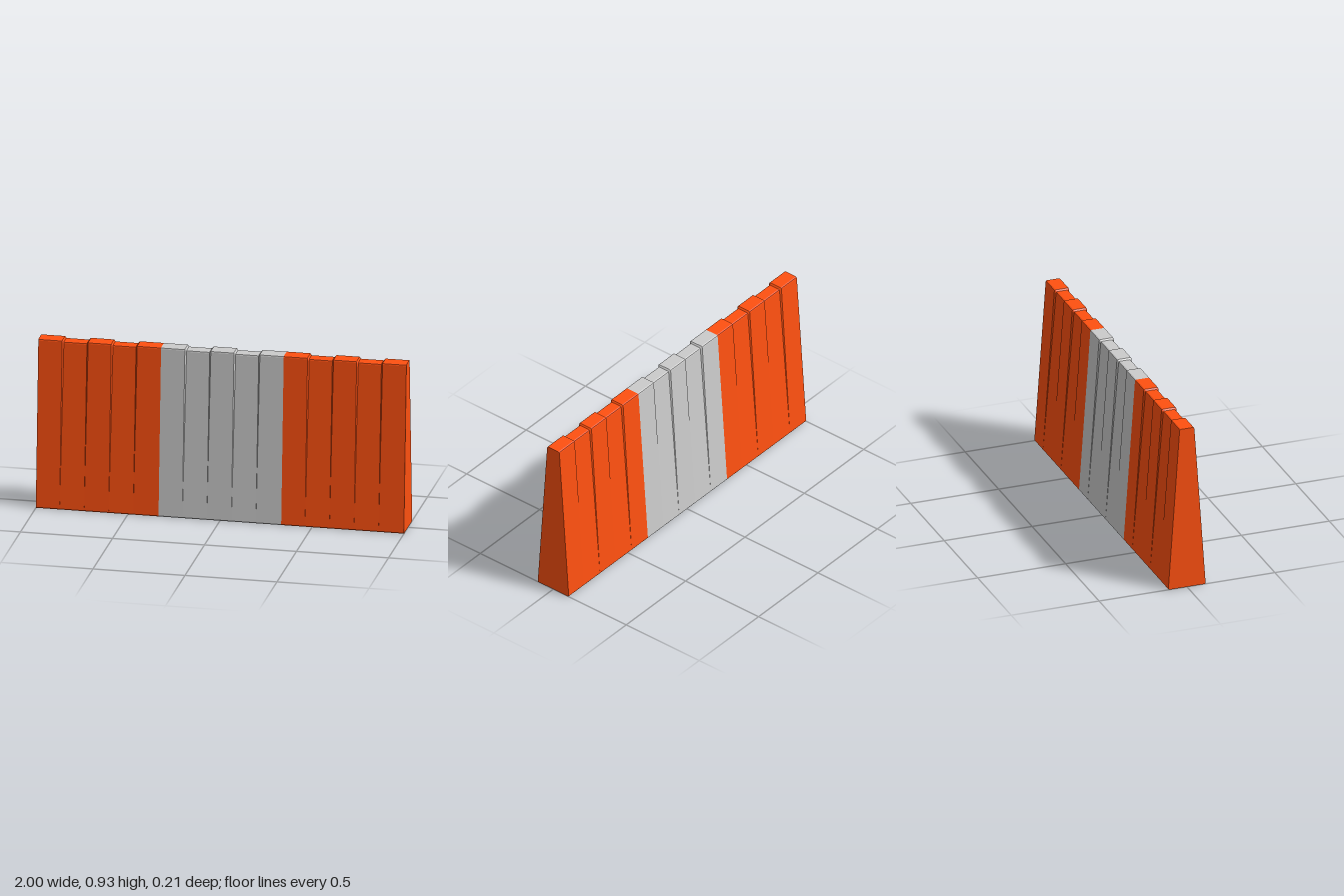
import * as THREE from 'three';

const RIB = 2 / 15;      // width of one rib
const RIBS = 5;          // ribs per panel
const BEVEL = 0.004;     // half width of the step between ribs

// Tapered cross-section as [z, y] points; recess 0 = raised rib, 1 = sunken rib
function crossSection(recess) {
  const top = 0.93 - 0.008 * recess;
  const half = 0.042 - 0.007 * recess;
  const side = [
    [0.103, 0], [0.106, 0.004],
    [half, top - 0.009], [half - 0.002, top - 0.003], [half - 0.008, top],
  ];
  return [...side, ...side.map(([z, y]) => [-z, y]).reverse()];
}

// Loft the cross-section along x, stepping between raised and sunken ribs
function panelGeometry() {
  const stations = [];
  const start = -RIB * RIBS / 2;
  for (let i = 0; i < RIBS; i++) {
    const x0 = start + i * RIB, x1 = x0 + RIB;
    stations.push([i === 0 ? x0 : x0 + BEVEL, i % 2]);
    stations.push([i === RIBS - 1 ? x1 : x1 - BEVEL, i % 2]);
  }
  const rings = stations.map(([x, recess]) => crossSection(recess).map(([z, y]) => [x, y, z]));
  const pos = [];
  const tri = (a, b, c) => pos.push(...a, ...b, ...c);
  const n = rings[0].length;

  // Skin, including the underside
  for (let s = 0; s < rings.length - 1; s++) {
    const p = rings[s], q = rings[s + 1];
    for (let k = 0; k < n; k++) {
      const m = (k + 1) % n;
      tri(p[k], q[k], q[m]);
      tri(p[k], q[m], p[m]);
    }
  }
  // End faces
  const first = rings[0], last = rings[rings.length - 1];
  for (let k = 1; k < n - 1; k++) {
    tri(first[0], first[k], first[k + 1]);
    tri(last[0], last[k + 1], last[k]);
  }

  const geometry = new THREE.BufferGeometry();
  geometry.setAttribute('position', new THREE.Float32BufferAttribute(pos, 3));
  geometry.computeVertexNormals();
  return geometry;
}

export function createModel() {
  const group = new THREE.Group();
  group.name = 'barrier';
  const orange = new THREE.MeshStandardMaterial({ color: 0xff5010 });
  const grey = new THREE.MeshStandardMaterial({ color: 0xcccccc });
  const geometry = panelGeometry();

  // Three ribbed panels side by side
  [['rightPanel', -1, orange], ['middlePanel', 0, grey], ['leftPanel', 1, orange]]
    .forEach(([name, slot, material]) => {
      const panel = new THREE.Mesh(geometry, material);
      panel.name = name;
      panel.position.x = slot * RIB * RIBS;
      group.add(panel);
    });
  return group;
}
